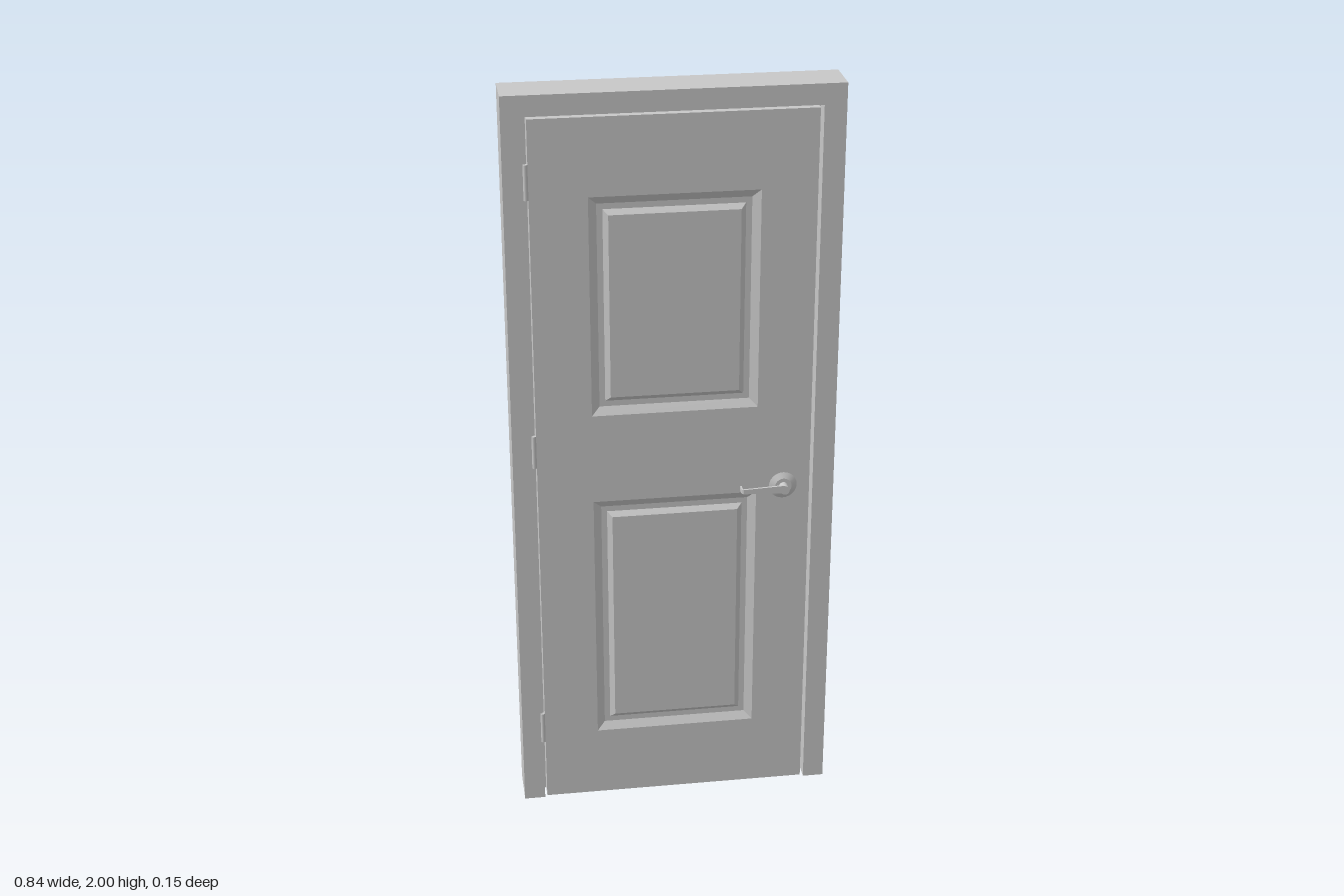
import * as THREE from 'three';

const grey = new THREE.MeshStandardMaterial({ color: 0xc8c8c8 });
grey.name = 'painted grey';

const FRONT = 0.04, BACK = -0.075; // frame faces
const DOOR_FRONT = 0.0395, DOOR_BACK = -0.005; // leaf faces
const PANELS = [[0.205, 0.91], [1.155, 1.74]]; // bottom and top of each panel
const PANEL_HALF = 0.214;

function mesh(name, geometry, x = 0, y = 0, z = 0) {
  const m = new THREE.Mesh(geometry, grey);
  m.name = name;
  m.position.set(x, y, z);
  return m;
}

function polygon(points) {
  return new THREE.Shape(points.map(([x, y]) => new THREE.Vector2(x, y)));
}

function extrude(shape, z0, z1) {
  return new THREE.ExtrudeGeometry(shape, { depth: z1 - z0, bevelEnabled: false, curveSegments: 8 }).translate(0, 0, z0);
}

// Two jambs joined by a head, open at the floor
function portal(outerX, outerY, innerX, innerY, z0, z1) {
  return extrude(polygon([
    [-outerX, 0], [-innerX, 0], [-innerX, innerY], [innerX, innerY],
    [innerX, 0], [outerX, 0], [outerX, outerY], [-outerX, outerY],
  ]), z0, z1);
}

// Sunken moulding and raised field, as nested rectangles [inset, depth]
function panelGeometry(halfW, halfH) {
  const loops = [[0, 0], [0.021, -0.013], [0.036, -0.013], [0.049, -0.002]].map(([d, z]) =>
    [[-1, -1], [1, -1], [1, 1], [-1, 1]].map(([sx, sy]) => [sx * (halfW - d), sy * (halfH - d), z]));
  const pos = [];
  const quad = (a, b, c, d) => pos.push(...a, ...b, ...c, ...a, ...c, ...d);
  for (let k = 0; k < loops.length - 1; k++) {
    const a = loops[k], b = loops[k + 1];
    for (let i = 0; i < 4; i++) {
      const j = (i + 1) % 4;
      quad(a[i], a[j], b[j], b[i]);
    }
  }
  quad(...loops[loops.length - 1]);
  const g = new THREE.BufferGeometry();
  g.setAttribute('position', new THREE.Float32BufferAttribute(pos, 3));
  g.computeVertexNormals();
  return g;
}

// Lever handle built outwards along +z; dir is the way the lever points in x
function createHandle(name, dir) {
  const handle = new THREE.Group();
  handle.name = name;

  const rose = new THREE.CylinderGeometry(0.022, 0.037, 0.008, 24).rotateX(Math.PI / 2);
  handle.add(mesh('rose', rose, 0, 0, 0.004));
  const stem = new THREE.CylinderGeometry(0.012, 0.012, 0.028, 20).rotateX(Math.PI / 2);
  handle.add(mesh('stem', stem, 0, 0, 0.02));

  // Flat lever with a rounded turn back towards the door
  const bar = polygon([[0, 0.0285], [0.109, 0.0285], [0.111, 0.026], [0.111, 0.008],
    [0.115, 0.008], [0.115, 0.028], [0.113, 0.032], [0.109, 0.034], [0, 0.034]]);
  const lever = extrude(bar, -0.011, 0.011).rotateX(Math.PI / 2);
  const p = lever.attributes.position;
  for (let i = 0; i < p.count; i++) {
    // rotateX turns the drawn height into z; taper the bar towards its tip
    p.setY(i, p.getY(i) * (1 - 0.45 * Math.min(1, p.getX(i) / 0.1)));
  }
  if (dir < 0) lever.rotateZ(Math.PI);
  lever.computeVertexNormals();
  handle.add(mesh('lever', lever, 0, 0.003, 0));
  return handle;
}

export function createModel() {
  const model = new THREE.Group();
  model.name = 'door';

  // Frame and the stop the leaf closes against
  model.add(mesh('frame', portal(0.42, 2, 0.364, 1.947, BACK, FRONT)));
  model.add(mesh('doorStop', portal(0.37, 1.952, 0.352, 1.936, -0.02, -0.006)));

  // Leaf with an opening for each panel
  const leaf = polygon([[-0.358, 0.005], [0.355, 0.005], [0.355, 1.941], [-0.358, 1.941]]);
  for (const [y0, y1] of PANELS) {
    leaf.holes.push(polygon([[-PANEL_HALF, y0], [-PANEL_HALF, y1], [PANEL_HALF, y1], [PANEL_HALF, y0]]));
  }
  model.add(mesh('leaf', extrude(leaf, DOOR_BACK, DOOR_FRONT)));

  // Moulded panels on both faces
  for (const [y0, y1] of PANELS) {
    const g = panelGeometry(PANEL_HALF, (y1 - y0) / 2);
    const y = (y0 + y1) / 2;
    model.add(mesh('frontPanel', g, 0, y, DOOR_FRONT));
    const back = mesh('backPanel', g, 0, y, DOOR_BACK);
    back.rotation.y = Math.PI;
    model.add(back);
  }

  // Hinge knuckles
  for (const y of [0.23, 1.065, 1.785]) {
    model.add(mesh('hinge', new THREE.CylinderGeometry(0.006, 0.006, 0.09, 12), -0.364, y, 0.041));
  }

  // Handles on both faces, both levers pointing towards the hinges
  const front = createHandle('frontHandle', -1);
  front.position.set(0.285, 0.925, DOOR_FRONT);
  const rear = createHandle('backHandle', 1);
  rear.position.set(0.285, 0.925, DOOR_BACK);
  rear.rotation.y = Math.PI;
  model.add(front, rear);

  return model;
}
